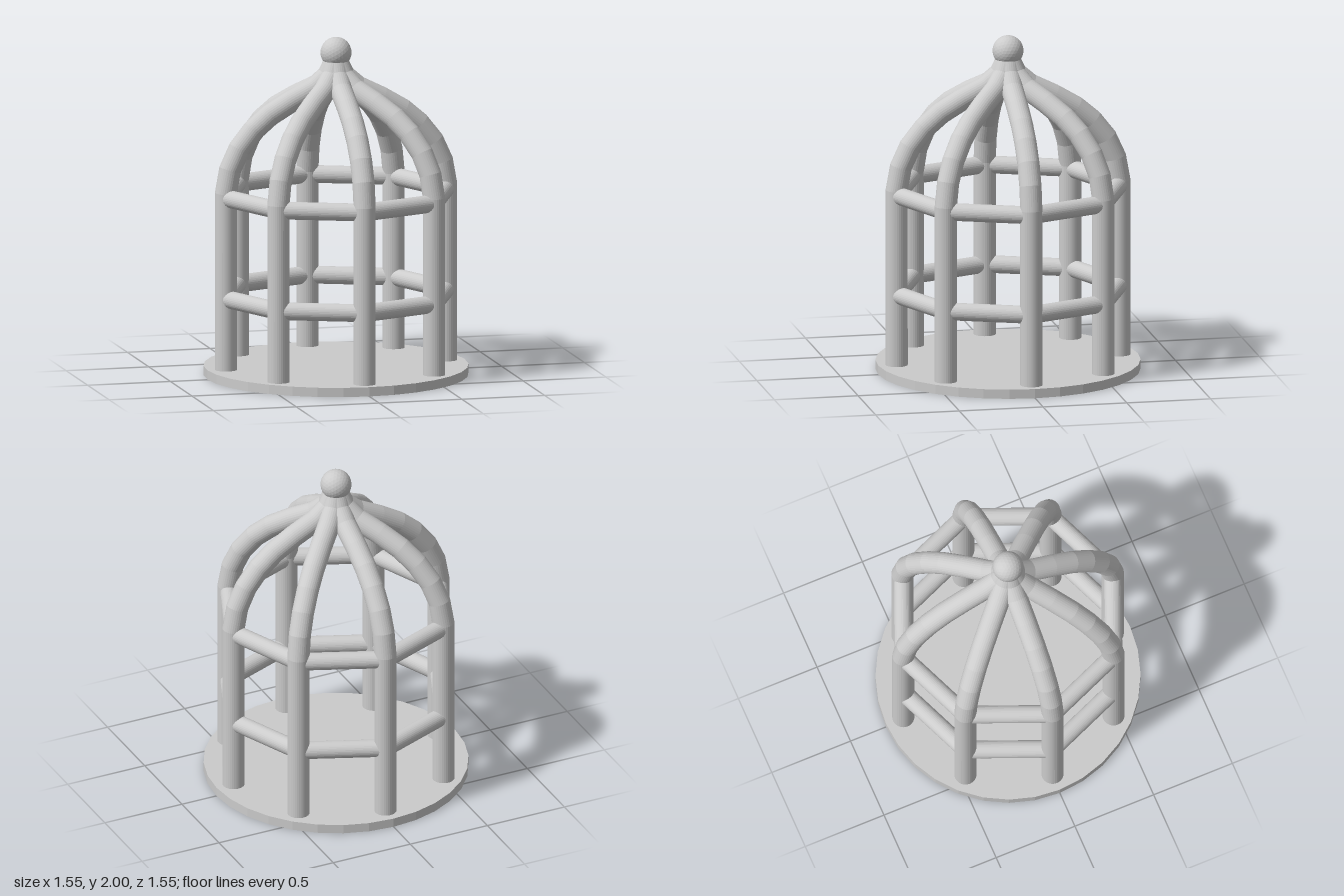
import * as THREE from 'three';

const BARS = 8, RING = 0.665;
const material = new THREE.MeshStandardMaterial({ color: 0xcccccc, flatShading: true });

// Curve that puts one tube ring on each profile point, mitred at the joints
class BarCurve extends THREE.Curve {
  constructor(points) {
    super();
    this.points = points;
  }
  getPoint(t, target = new THREE.Vector3()) {
    return target.copy(this.points[Math.round(t * (this.points.length - 1))]);
  }
  getPointAt(u, target) {
    return this.getPoint(u, target);
  }
  getTangentAt(u, target = new THREE.Vector3()) {
    const p = this.points, last = p.length - 1, i = Math.round(u * last);
    target.set(0, 0, 0);
    if (i > 0) target.add(p[i].clone().sub(p[i - 1]).normalize());
    if (i < last) target.add(p[i + 1].clone().sub(p[i]).normalize());
    return target.normalize();
  }
}

function addMesh(parent, name, geometry) {
  const mesh = new THREE.Mesh(geometry, material);
  mesh.name = name;
  parent.add(mesh);
  return mesh;
}

export function createModel() {
  const model = new THREE.Group();
  model.name = 'birdcage';

  // Round floor plate
  addMesh(model, 'base', new THREE.CylinderGeometry(0.775, 0.775, 0.055, 32)).position.y = 0.0275;

  // Upright bars that bend into the dome and flare up to the neck
  const profile = [
    [RING, 0.01], [RING, 1.1], [0.64, 1.24], [0.585, 1.36], [0.5, 1.468], [0.4, 1.553],
    [0.27, 1.63], [0.13, 1.7], [0.05, 1.77], [0.015, 1.84], [0.005, 1.9],
  ].map(([r, y]) => new THREE.Vector3(r, y, 0));
  const barGeometry = new THREE.TubeGeometry(new BarCurve(profile), profile.length - 1, 0.065, 32);
  const bars = new THREE.Group();
  bars.name = 'bars';
  for (let i = 0; i < BARS; i++) {
    addMesh(bars, 'bar', barGeometry).rotation.y = (i / BARS) * Math.PI * 2;
  }
  model.add(bars);

  // Two octagonal rings of straight rails between neighbouring bars
  const half = Math.PI / BARS;
  const railGeometry = new THREE.CylinderGeometry(0.052, 0.052, 2 * RING * Math.sin(half), 32);
  railGeometry.rotateX(Math.PI / 2);
  railGeometry.translate(RING * Math.cos(half), 0, 0);
  for (const [name, y] of [['lowerRails', 0.475], ['upperRails', 1.073]]) {
    const rails = new THREE.Group();
    rails.name = name;
    rails.position.y = y;
    for (let i = 0; i < BARS; i++) {
      addMesh(rails, 'rail', railGeometry).rotation.y = (2 * i + 1) * half;
    }
    model.add(rails);
  }

  // Ball finial
  addMesh(model, 'finial', new THREE.IcosahedronGeometry(0.091, 4)).position.y = 1.909;

  return model;
}
